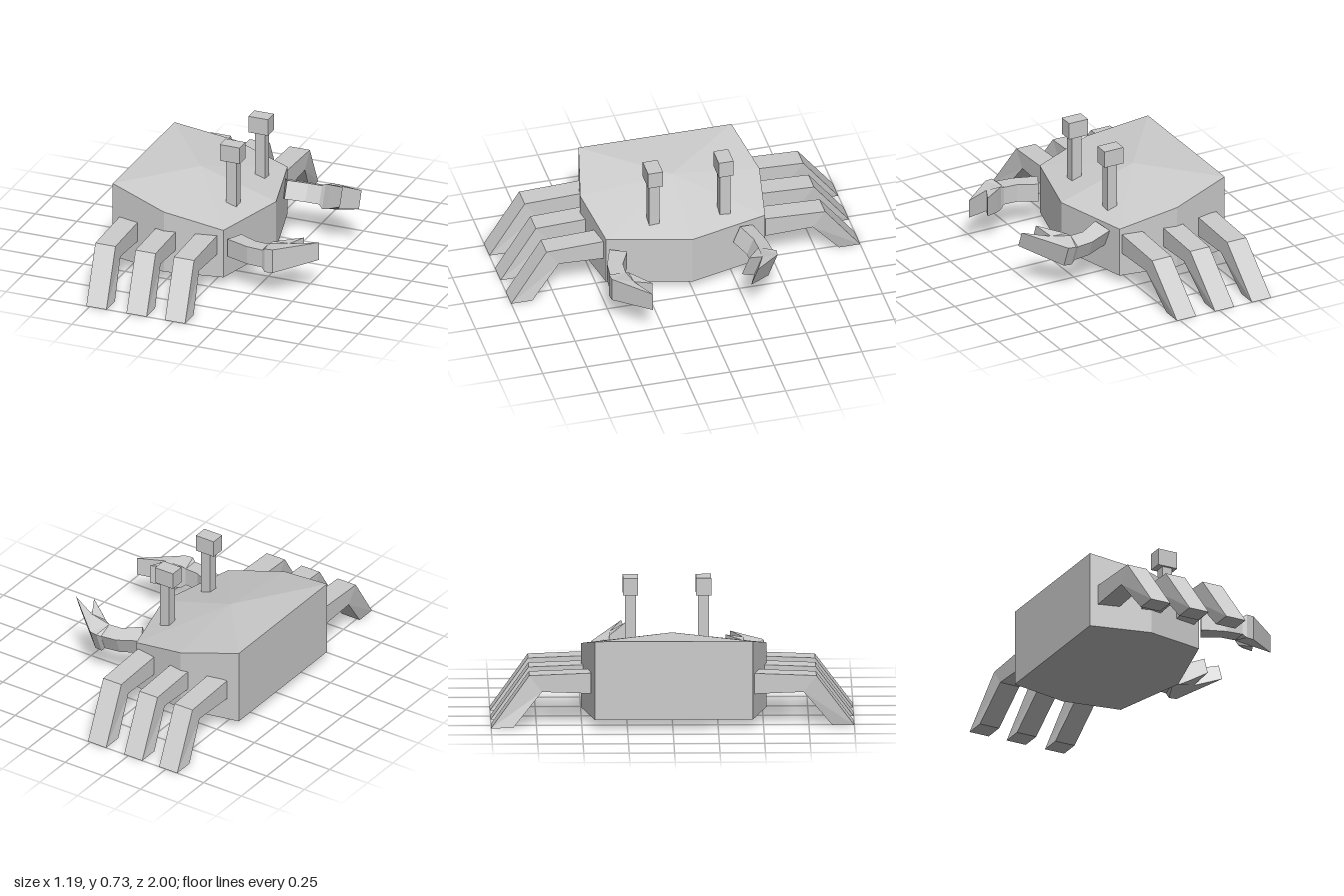
import * as THREE from 'three';
import { ConvexGeometry } from 'three/addons/geometries/ConvexGeometry.js';

const material = new THREE.MeshStandardMaterial({ color: 0xcccccc, flatShading: true });

// Solid between two matching rings of points; outline is their flat 2D shape.
function prism(outline, ringA, ringB) {
  const n = outline.length;
  const pts = [...ringA, ...ringB].map((p) => new THREE.Vector3(...p));
  const tris = [];
  const flat = outline.map((p) => new THREE.Vector2(...p));
  const ccw = THREE.ShapeUtils.area(flat) > 0;
  for (const [a, b, c] of THREE.ShapeUtils.triangulateShape(flat, [])) {
    const turn = flat[b].clone().sub(flat[a]).cross(flat[c].clone().sub(flat[a]));
    const [q, r] = (turn > 0) === ccw ? [b, c] : [c, b];
    tris.push([a, r, q], [a + n, q + n, r + n]);
  }
  for (let i = 0; i < n; i++) {
    const j = (i + 1) % n;
    tris.push([i, j, j + n], [i, j + n, i + n]);
  }
  // Turn the faces outwards whichever way the outline runs
  let volume = 0;
  for (const [a, b, c] of tris) volume += pts[a].dot(pts[b].clone().cross(pts[c]));
  const order = volume < 0 ? tris.map(([a, b, c]) => [a, c, b]) : tris;
  const geometry = new THREE.BufferGeometry().setFromPoints(order.flat().map((i) => pts[i]));
  geometry.computeVertexNormals();
  return geometry;
}

function add(parent, name, geometry, x = 0, y = 0, z = 0) {
  const mesh = new THREE.Mesh(geometry, material);
  mesh.name = name;
  mesh.position.set(x, y, z);
  parent.add(mesh);
  return mesh;
}

// Bent leg: profile in z and y, swept across its width, foot sheared along x
function legGeometry(x, side, lean) {
  const profile = [[0.45, 0.3], [0.79, 0.287], [1, 0], [0.88, 0], [0.72, 0.195], [0.45, 0.185]];
  const shear = [0, 0, lean, lean, 0, 0];
  const ring = (x0) => profile.map(([z, y], i) => [x0 + shear[i], y, side * z]);
  return prism(profile, ring(x), ring(x + 0.12));
}

// Plan outline rows are [x, z, low y, high y]
function slab(rows, side) {
  return prism(
    rows.map(([x, z]) => [x, z]),
    rows.map(([x, z, low]) => [x, low, side * z]),
    rows.map(([x, z, , high]) => [x, high, side * z]),
  );
}

const armRows = [
  [0.09, 0.447], [0.225, 0.495], [0.325, 0.505], [0.325, 0.415], [0.24, 0.41], [0.135, 0.357],
].map(([x, z]) => [x, z, 0.175, 0.28]);

const pincerRows = [
  [0.32, 0.505, 0.175, 0.28], [0.34, 0.515, 0.155, 0.295], [0.385, 0.51, 0.155, 0.295],
  [0.588, 0.33, 0.195, 0.3], [0.44, 0.4, 0.17, 0.297], [0.485, 0.305, 0.19, 0.3],
  [0.385, 0.375, 0.16, 0.295], [0.345, 0.405, 0.155, 0.295], [0.32, 0.415, 0.175, 0.28],
];

export function createModel() {
  const model = new THREE.Group();
  model.name = 'crab';

  // Shell: seven-sided wedge with a raised point in the middle of its top
  const rim = [
    [-0.6, -0.43, 0.49], [-0.26, -0.5, 0.412], [0.07, -0.445, 0.335], [0.19, 0, 0.335],
    [0.07, 0.46, 0.335], [-0.26, 0.52, 0.412], [-0.6, 0.44, 0.49],
  ];
  const shell = [new THREE.Vector3(-0.26, 0.47, 0)];
  for (const [x, z, top] of rim) {
    shell.push(new THREE.Vector3(x, top, z), new THREE.Vector3(x, 0.05, z));
  }
  add(model, 'shell', new ConvexGeometry(shell));

  // Three legs on each side
  [-0.555, -0.315, -0.085].forEach((x) => add(model, 'leftLeg', legGeometry(x, 1, 0.035)));
  [-0.535, -0.303, -0.063].forEach((x) => add(model, 'rightLeg', legGeometry(x, -1, -0.04)));

  // Eyes on stalks
  for (const z of [0.177, -0.225]) {
    add(model, 'eyeStalk', new THREE.BoxGeometry(0.06, 0.3, 0.06), 0.01, 0.485, z);
    add(model, 'eye', new THREE.BoxGeometry(0.118, 0.097, 0.084), 0.006, 0.682, z);
  }

  // Claws: the second one is mirrored, rolled and lifted
  for (const side of [1, -1]) {
    const claw = new THREE.Group();
    claw.name = side > 0 ? 'leftClaw' : 'rightClaw';
    for (const [name, rows] of [['arm', armRows], ['pincer', pincerRows]]) {
      const geometry = slab(rows, side);
      if (side < 0) geometry.translate(0, -0.23, 0.41).rotateX(-0.385).translate(0, 0.266, -0.316);
      add(claw, name, geometry);
    }
    model.add(claw);
  }
  return model;
}
